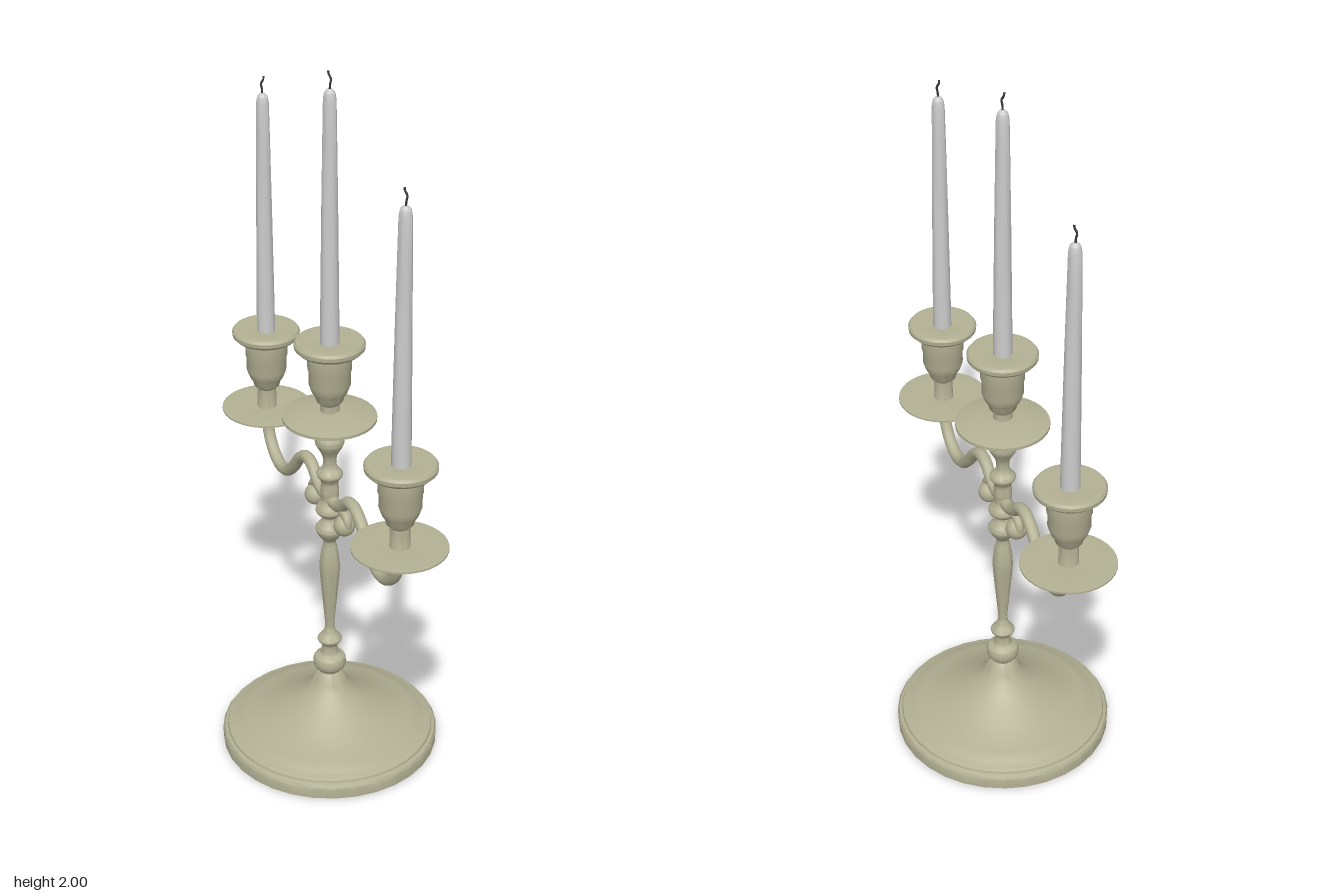
import * as THREE from 'three';
import { toCreasedNormals } from 'three/addons/utils/BufferGeometryUtils.js';

const metal = new THREE.MeshStandardMaterial({ color: 0xb2b093, side: THREE.DoubleSide });
const wax = new THREE.MeshStandardMaterial({ color: 0xcccccc });
const char = new THREE.MeshStandardMaterial({ color: 0x3a3a3a });

const vectors = (pts) => pts.map(([r, y]) => new THREE.Vector2(r, y));

// Turned part from [radius, height] pairs, listed bottom to top
function turned(name, pts, material = metal, sides = 32) {
  const geo = toCreasedNormals(new THREE.LatheGeometry(vectors(pts), sides), 0.6);
  const mesh = new THREE.Mesh(geo, material);
  mesh.name = name;
  return mesh;
}

// Turned part whose profile is a smooth curve through the pairs
function turnedSmooth(name, pts, steps) {
  const curve = new THREE.SplineCurve(vectors(pts));
  return turned(name, curve.getPoints(steps).map((p) => [p.x, p.y]), metal, 24);
}

function tube(name, pts, radius, steps, material = metal, sides = 12) {
  const curve = new THREE.CatmullRomCurve3(pts.map((p) => new THREE.Vector3(...p)));
  const mesh = new THREE.Mesh(new THREE.TubeGeometry(curve, steps, radius, sides), material);
  mesh.name = name;
  return mesh;
}

// Socket, candle and wick; y = 0 is the underside of the cup
function candleHolder() {
  const g = new THREE.Group();
  g.name = 'candleHolder';
  g.add(turned('socket', [
    [0, -0.085], [0.034, -0.085], [0.027, -0.07], [0.026, -0.01], [0.036, 0], [0.04, 0.015],
    [0.047, 0.025], [0.051, 0.035], [0.056, 0.05], [0.056, 0.085], [0.059, 0.095], [0.059, 0.135],
    [0.065, 0.142], [0.085, 0.148], [0.094, 0.157], [0.095, 0.168], [0.09, 0.175],
    [0.08, 0.177], [0.03, 0.169], [0, 0.169],
  ]));
  g.add(turned('candle', [
    [0, 0.12], [0.026, 0.12], [0.025, 0.25], [0.0215, 0.55], [0.0185, 0.75], [0.017, 0.84],
    [0.014, 0.858], [0.007, 0.866], [0, 0.867],
  ], wax, 12));
  g.add(tube('wick', [
    [0, 0.86, 0], [0, 0.878, 0.002], [0.002, 0.892, 0.003], [-0.002, 0.905, -0.003], [-0.003, 0.914, -0.002],
  ], 0.003, 12, char, 6));
  return g;
}

export function createModel() {
  const model = new THREE.Group();
  model.name = 'candelabrum';

  // Stepped foot sweeping up into the stem
  model.add(turned('base', [
    [0, 0], [0.305, 0], [0.306, 0.032], [0.301, 0.04], [0.293, 0.043], [0.291, 0.05],
    [0.281, 0.055], [0.271, 0.057], [0.265, 0.062], [0.235, 0.071], [0.2, 0.083], [0.16, 0.102],
    [0.12, 0.126], [0.085, 0.15], [0.062, 0.172], [0.048, 0.194], [0.039, 0.215], [0.03, 0.225],
  ], metal, 32));

  // Baluster stem with its knops
  model.add(turnedSmooth('stem', [
    [0.031, 0.215], [0.032, 0.228], [0.043, 0.24], [0.046, 0.255], [0.042, 0.272], [0.026, 0.282],
    [0.023, 0.295], [0.022, 0.31], [0.033, 0.325], [0.033, 0.333], [0.021, 0.348], [0.015, 0.362],
    [0.013, 0.38], [0.019, 0.45], [0.027, 0.54], [0.028, 0.58], [0.023, 0.62], [0.017, 0.65],
    [0.026, 0.665], [0.038, 0.685], [0.038, 0.698], [0.025, 0.716], [0.021, 0.73], [0.035, 0.742],
    [0.039, 0.755], [0.029, 0.772], [0.024, 0.785], [0.026, 0.81], [0.024, 0.84], [0.035, 0.858],
    [0.035, 0.868], [0.021, 0.885], [0.018, 0.905], [0.022, 0.925], [0.038, 0.955], [0.039, 0.972],
    [0.025, 0.998], [0.022, 1.012], [0.034, 1.028], [0.034, 1.04],
  ], 140));

  // Centre drip plate and candle
  model.add(turned('centreDripPlate', [
    [0, 1.036], [0.122, 1.033], [0.127, 1.034], [0.127, 1.042], [0.1, 1.05], [0.06, 1.056], [0, 1.06],
  ]));
  const centre = candleHolder();
  centre.position.y = 1.088;
  model.add(centre);

  // Two mirrored arms, front and back
  for (const side of [1, -1]) {
    const arm = new THREE.Group();
    arm.name = side > 0 ? 'frontArm' : 'backArm';
    arm.add(tube('branch', [
      [0, 0.787, 0], [0, 0.788, 0.05], [0, 0.806, 0.083], [0, 0.833, 0.115], [0, 0.838, 0.15],
      [0, 0.815, 0.19], [0, 0.765, 0.235], [0, 0.728, 0.28], [0, 0.721, 0.33], [0, 0.745, 0.375],
      [0, 0.79, 0.407], [0, 0.852, 0.418],
    ], 0.017, 64));
    arm.add(tube('scroll', [
      [0, 0.788, 0.045], [0, 0.789, 0.08], [0, 0.778, 0.108], [0, 0.757, 0.112], [0, 0.744, 0.098],
    ], 0.012, 20));
    const bud = new THREE.Mesh(new THREE.SphereGeometry(0.03, 16, 12), metal);
    bud.name = 'scrollBud';
    bud.position.set(0, 0.75, 0.093);
    arm.add(bud);

    const end = new THREE.Group();
    end.name = 'armEnd';
    end.position.z = 0.418;
    end.add(turned('dripPlate', [
      [0, 0.845], [0.028, 0.845], [0.06, 0.852], [0.1, 0.859], [0.127, 0.864], [0.127, 0.869],
      [0.09, 0.872], [0.05, 0.869], [0, 0.869],
    ]));
    const holder = candleHolder();
    holder.position.y = 0.938;
    end.add(holder);
    arm.add(end);

    if (side < 0) arm.rotation.y = Math.PI;
    model.add(arm);
  }
  return model;
}
